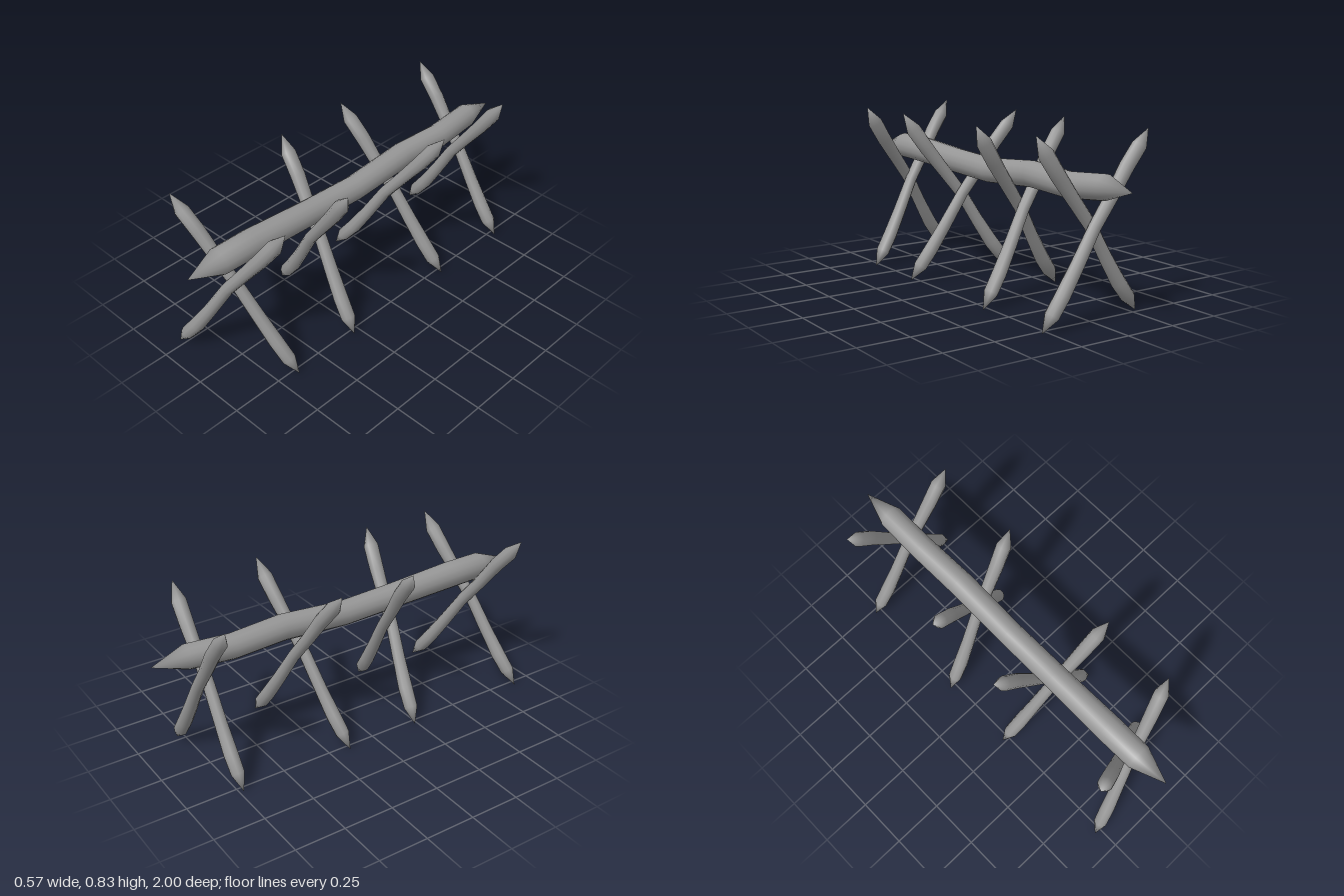
import * as THREE from 'three';
import { mergeVertices } from 'three/addons/utils/BufferGeometryUtils.js';

const material = new THREE.MeshStandardMaterial({ color: 0x969696 });

// Pointed log between two points; each ring is [t along the log, radius, offset x, offset y]
function makeLog(name, from, to, rings, sides) {
  const axis = to.clone().sub(from);
  const length = axis.length();
  let geo = new THREE.LatheGeometry(rings.map(([t, r]) => new THREE.Vector2(r, t * length)), sides);
  geo.applyQuaternion(new THREE.Quaternion().setFromUnitVectors(new THREE.Vector3(0, 1, 0), axis.normalize()));
  geo.translate(from.x, from.y, from.z);

  // Crooked growth: shift every ring sideways
  const pos = geo.attributes.position;
  for (let i = 0; i < pos.count; i++) {
    const [, , dx, dy] = rings[i % rings.length];
    pos.setX(i, pos.getX(i) + dx);
    pos.setY(i, pos.getY(i) + dy);
  }
  geo.deleteAttribute('uv');
  geo.deleteAttribute('normal');
  geo = mergeVertices(geo, 1e-5);
  geo.computeVertexNormals();

  const mesh = new THREE.Mesh(geo, material);
  mesh.name = name;
  return mesh;
}

// Bend and thickness of the stakes rising towards +x
const risingRings = [
  [0, 0, 0, 0],
  [0.085, 0.033, 0, 0],
  [0.18, 0.035, 0.004, -0.003],
  [0.32, 0.031, 0, 0],
  [0.5, 0.029, -0.010, 0.008],
  [0.65, 0.031, -0.004, 0.002],
  [0.79, 0.035, 0, -0.004],
  [0.91, 0.036, -0.001, -0.007],
  [1, 0, 0, 0],
];

// Bend and thickness of the stakes rising towards -x
const fallingRings = [
  [0, 0, 0, 0],
  [0.085, 0.034, -0.002, -0.002],
  [0.18, 0.035, -0.004, -0.002],
  [0.32, 0.032, 0.001, 0],
  [0.5, 0.029, 0.009, 0.008],
  [0.65, 0.031, 0.006, 0.005],
  [0.8, 0.035, 0.008, 0.006],
  [0.91, 0.035, 0.001, 0.001],
  [1, 0, 0, 0],
];

const beamRings = [
  [0, 0, -0.005, 0],
  [0.085, 0.058, -0.005, 0],
  [0.2, 0.06, -0.002, -0.021],
  [0.33, 0.062, 0, -0.007],
  [0.5, 0.06, 0, -0.033],
  [0.65, 0.061, -0.002, -0.021],
  [0.82, 0.066, -0.006, -0.003],
  [0.915, 0.064, -0.006, 0],
  [1, 0, -0.005, 0],
];

// Depth of each crossed pair: rising stake foot and tip, falling stake foot and tip
const pairs = [
  [0.89, 0.70, 0.65, 0.845],
  [0.235, 0.335, 0.29, 0.19],
  [-0.15, -0.30, -0.345, -0.20],
  [-0.73, -0.735, -0.78, -0.78],
];

export function createModel() {
  const model = new THREE.Group();
  model.name = 'spikedBarricade';

  // Long sharpened beam running front to back
  model.add(makeLog('beam', new THREE.Vector3(0, 0.6, -1), new THREE.Vector3(0, 0.6, 1), beamRings, 14));

  // Crossed stakes carrying the beam
  pairs.forEach(([risingFoot, risingTip, fallingFoot, fallingTip], i) => {
    const pair = new THREE.Group();
    pair.name = `stakePair${i + 1}`;
    pair.add(
      makeLog('risingStake', new THREE.Vector3(-0.282, 0.002, risingFoot),
        new THREE.Vector3(0.287, 0.828, risingTip), risingRings, 10),
      makeLog('fallingStake', new THREE.Vector3(0.282, 0.002, fallingFoot),
        new THREE.Vector3(-0.287, 0.828, fallingTip), fallingRings, 10),
    );
    model.add(pair);
  });
  return model;
}
